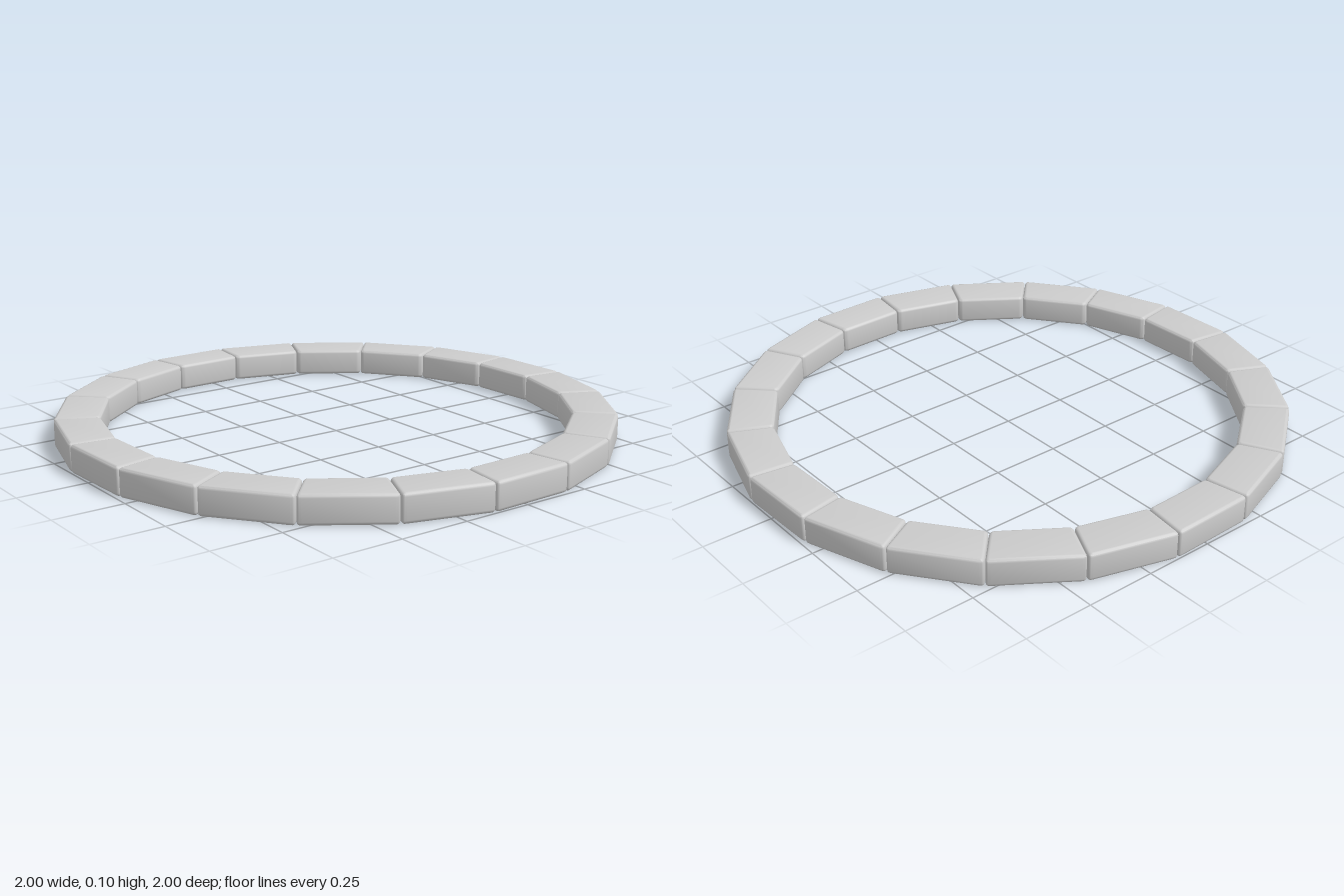
import * as THREE from 'three';
import { toCreasedNormals } from 'three/addons/utils/BufferGeometryUtils.js';

const COUNT = 20;        // stones in the ring
const INNER = 0.833;     // distance from centre to the flat inner face
const OUTER = 0.996;     // distance from centre to the flat outer face
const HEIGHT = 0.1;
const BEVEL = 0.012;
const CORNER = 0.016;    // rounding of the upright edges
const TWIST = THREE.MathUtils.degToRad(1.7);

// Wedge outline with rounded corners
function wedgeShape() {
  const t = Math.tan(Math.PI / COUNT);
  const gap = 0.001;
  const corners = [
    [-INNER * t + gap, INNER], [INNER * t - gap, INNER],
    [OUTER * t - gap, OUTER], [-OUTER * t + gap, OUTER],
  ].map(([x, y]) => new THREE.Vector2(x, y));
  const toward = (a, b) => a.clone().add(b.clone().sub(a).setLength(CORNER));

  const shape = new THREE.Shape();
  corners.forEach((c, i) => {
    const before = toward(c, corners[(i + 3) % 4]);
    const after = toward(c, corners[(i + 1) % 4]);
    if (i === 0) shape.moveTo(before.x, before.y);
    else shape.lineTo(before.x, before.y);
    shape.quadraticCurveTo(c.x, c.y, after.x, after.y);
  });
  shape.closePath();
  return shape;
}

// One stone, bevelled on its top and bottom rims, lying flat on y = 0
function stoneGeometry() {
  const geometry = new THREE.ExtrudeGeometry(wedgeShape(), {
    depth: HEIGHT - 2 * BEVEL,
    bevelThickness: BEVEL,
    bevelSize: BEVEL,
    bevelOffset: -BEVEL,
    bevelSegments: 3,
    curveSegments: 4,
  });
  geometry.rotateX(Math.PI / 2);
  geometry.translate(0, HEIGHT - BEVEL, 0);
  return toCreasedNormals(geometry, Math.PI / 5);
}

export function createModel() {
  const ring = new THREE.Group();
  ring.name = 'stoneRing';
  const material = new THREE.MeshStandardMaterial({ color: 0xcccccc });
  const geometry = stoneGeometry();

  // Stones repeated around the circle
  for (let i = 0; i < COUNT; i++) {
    const stone = new THREE.Mesh(geometry, material);
    stone.name = `stone${i + 1}`;
    stone.rotation.y = TWIST + (i / COUNT) * Math.PI * 2;
    ring.add(stone);
  }
  return ring;
}
